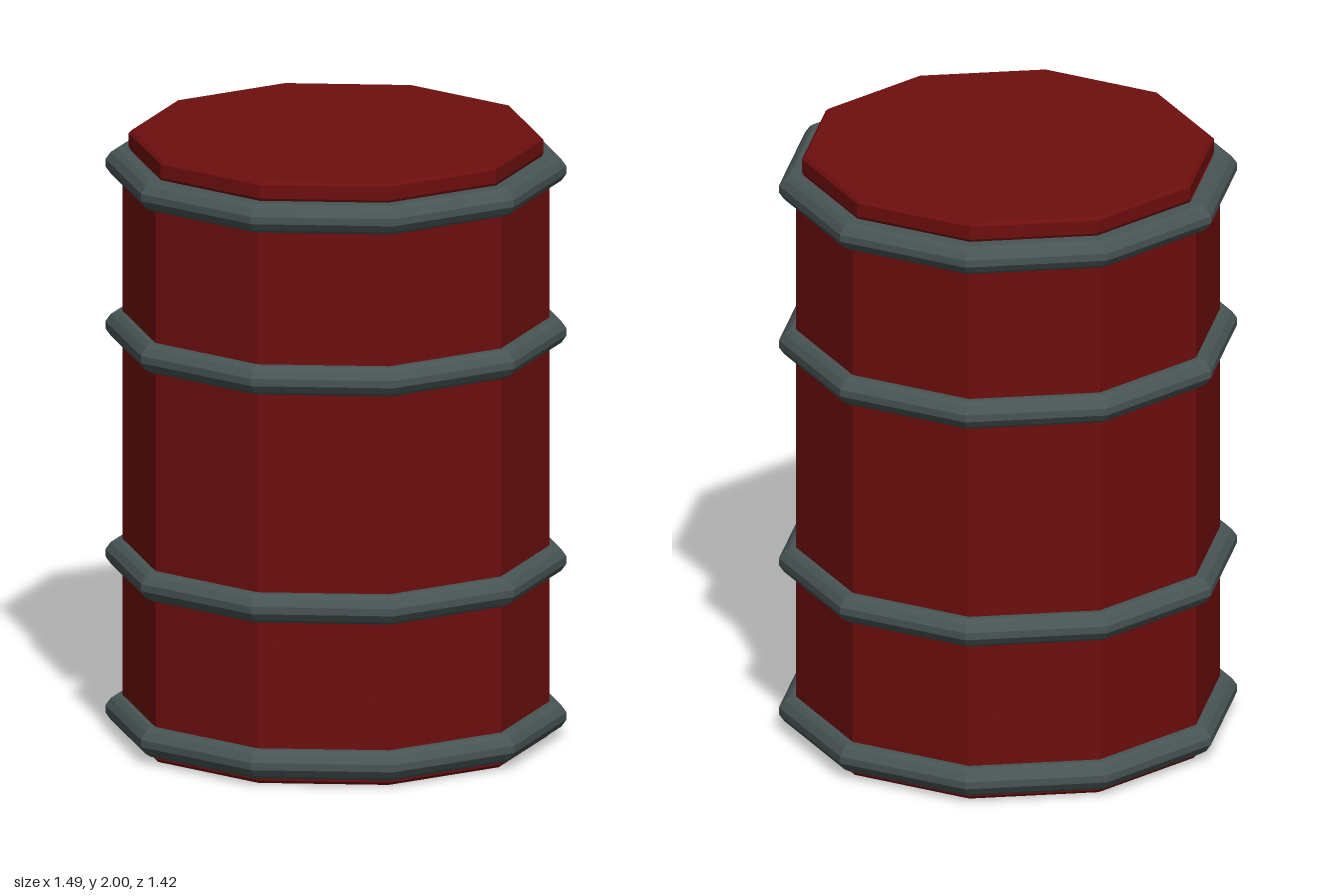
import * as THREE from 'three';

const SIDES = 10;

// Ten-sided lathe with a corner on the x axis
function lathe(points, material, name) {
  const profile = points.map(([r, y]) => new THREE.Vector2(r, y));
  const mesh = new THREE.Mesh(new THREE.LatheGeometry(profile, SIDES, Math.PI / 2), material);
  mesh.name = name;
  return mesh;
}

export function createModel() {
  const group = new THREE.Group();
  group.name = 'barrel';

  const red = new THREE.MeshStandardMaterial({ color: 0x6e0e0e, flatShading: true });
  red.name = 'dark red paint';
  const steel = new THREE.MeshStandardMaterial({ color: 0x485454, flatShading: true });
  steel.name = 'grey steel';

  // Drum body with closed bottom and top shoulder
  group.add(lathe([[0, 0], [0.68, 0], [0.69, 0.01], [0.69, 1.92], [0.66, 1.93], [0, 1.93]], red, 'body'));

  // Lid with a small bevel
  group.add(lathe([[0.66, 1.93], [0.67, 1.945], [0.67, 1.99], [0.66, 2], [0, 2]], red, 'lid'));

  // Four bevelled hoops
  for (const y of [0.07, 0.59, 1.35, 1.89]) {
    const hoop = lathe([
      [0.67, -0.048], [0.71, -0.048], [0.728, -0.036], [0.745, -0.012],
      [0.745, 0.012], [0.728, 0.036], [0.71, 0.048], [0.67, 0.048], [0.67, -0.048],
    ], steel, 'hoop');
    hoop.position.y = y;
    group.add(hoop);
  }

  // Tiny raised paint chips on two opposite panels
  const chips = new THREE.Group();
  chips.name = 'paintChips';
  const chipGeometry = new THREE.BoxGeometry(0.045, 0.012, 0.006);
  const apothem = 0.69 * Math.cos(Math.PI / SIDES);
  const addChip = (angle, along, y) => {
    const chip = new THREE.Mesh(chipGeometry, red);
    chip.name = 'paintChip';
    chip.rotation.y = angle;
    chip.position.set(
      Math.sin(angle) * apothem + Math.cos(angle) * along, y,
      Math.cos(angle) * apothem - Math.sin(angle) * along);
    chips.add(chip);
  };
  const panel = -Math.PI / 5;
  for (const [x, y] of [[-0.31, 1.01], [-0.38, 0.84], [-0.5, 0.45], [-0.44, 0.36], [-0.25, 0.275], [-0.31, 0.185]]) {
    addChip(panel, (x - Math.sin(panel) * apothem) / Math.cos(panel), y);
  }
  for (const y of [0.19, 0.29]) addChip(panel + Math.PI, -0.13, y);
  group.add(chips);

  return group;
}
